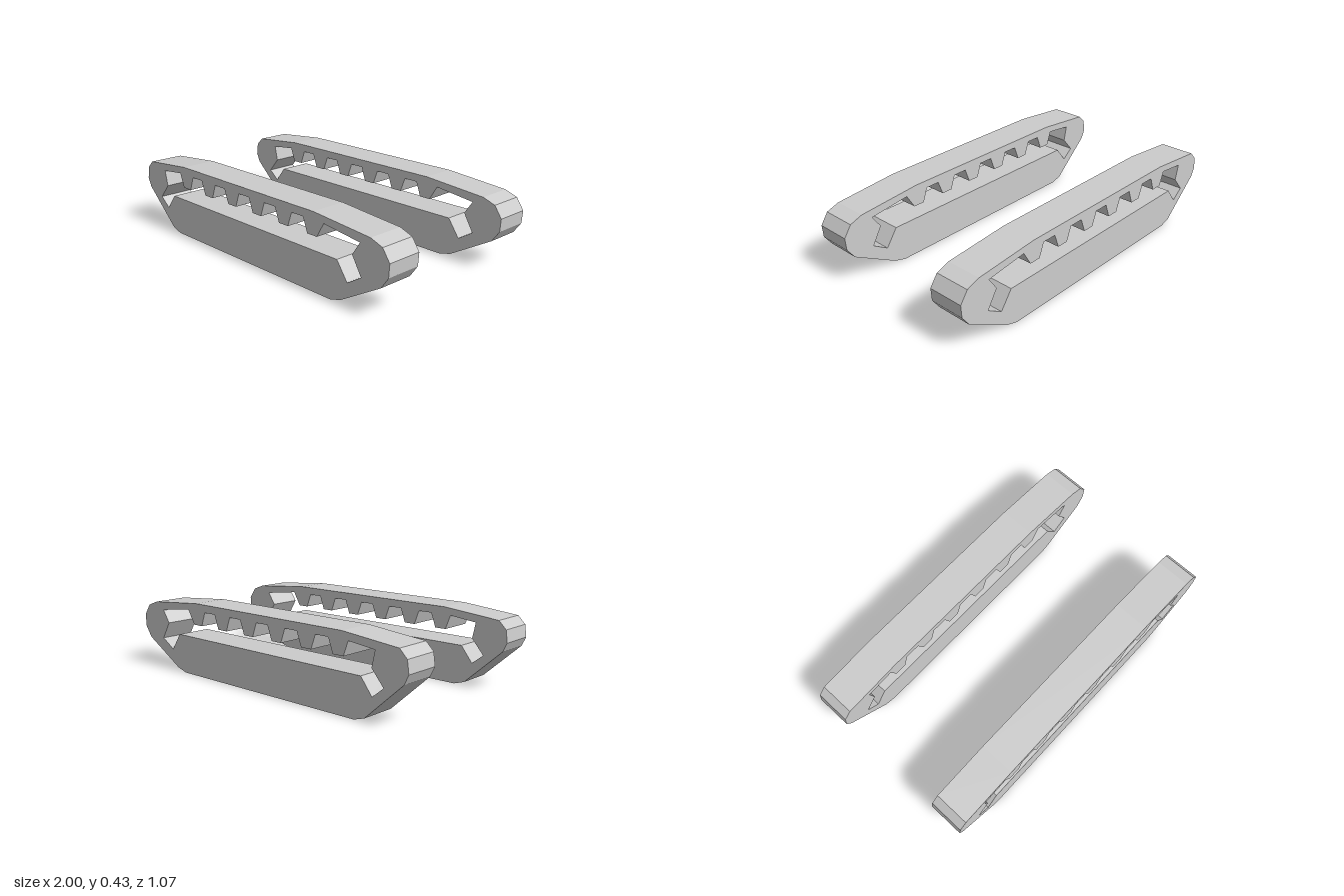
import * as THREE from 'three';

const vec = (pts) => pts.map(([x, y]) => new THREE.Vector2(x, y));

// Side profile of one track, anticlockwise from the bottom left
const OUTLINE = [
  [-0.68, 0], [0.62, 0], [0.69, 0.02], [0.95, 0.167], [0.995, 0.23], [1, 0.303],
  [0.955, 0.368], [0.88, 0.395], [0.5, 0.427], [-0.6, 0.427], [-0.945, 0.395],
  [-0.99, 0.35], [-1, 0.28], [-0.975, 0.228], [-0.745, 0.02],
];

// Opening: flat floor, notched ends and a row of teeth hanging from the roof
function openingPoints() {
  const pts = [
    [-0.72, 0.225], [0.665, 0.225], [0.735, 0.125], [0.825, 0.18],
    [0.765, 0.28], [0.815, 0.353],
  ];
  const count = 6, first = -0.577, pitch = 0.2135, roof = 0.383, tip = 0.302;
  for (let i = count - 1; i >= 0; i--) {
    const x = first + i * pitch;
    const right = i === count - 1 ? 0.083 : 0.064;
    pts.push([x + right, roof], [x + 0.034, tip], [x - 0.034, tip], [x - 0.064, roof]);
  }
  pts.push([-0.805, 0.365], [-0.785, 0.275], [-0.858, 0.19], [-0.79, 0.135]);
  return pts;
}

export function createModel() {
  const model = new THREE.Group();
  model.name = 'trackPair';
  const material = new THREE.MeshStandardMaterial({ color: 0xcccccc, flatShading: true });

  const shape = new THREE.Shape(vec(OUTLINE));
  shape.holes.push(new THREE.Path(vec(openingPoints())));
  const width = 0.205;
  const geometry = new THREE.ExtrudeGeometry(shape, { depth: width, bevelEnabled: false });
  geometry.translate(0, 0, -width / 2);

  // One track at the front, one at the back
  for (const [name, z] of [['frontTrack', 0.4345], ['backTrack', -0.4345]]) {
    const track = new THREE.Mesh(geometry, material);
    track.name = name;
    track.position.z = z;
    model.add(track);
  }
  return model;
}
